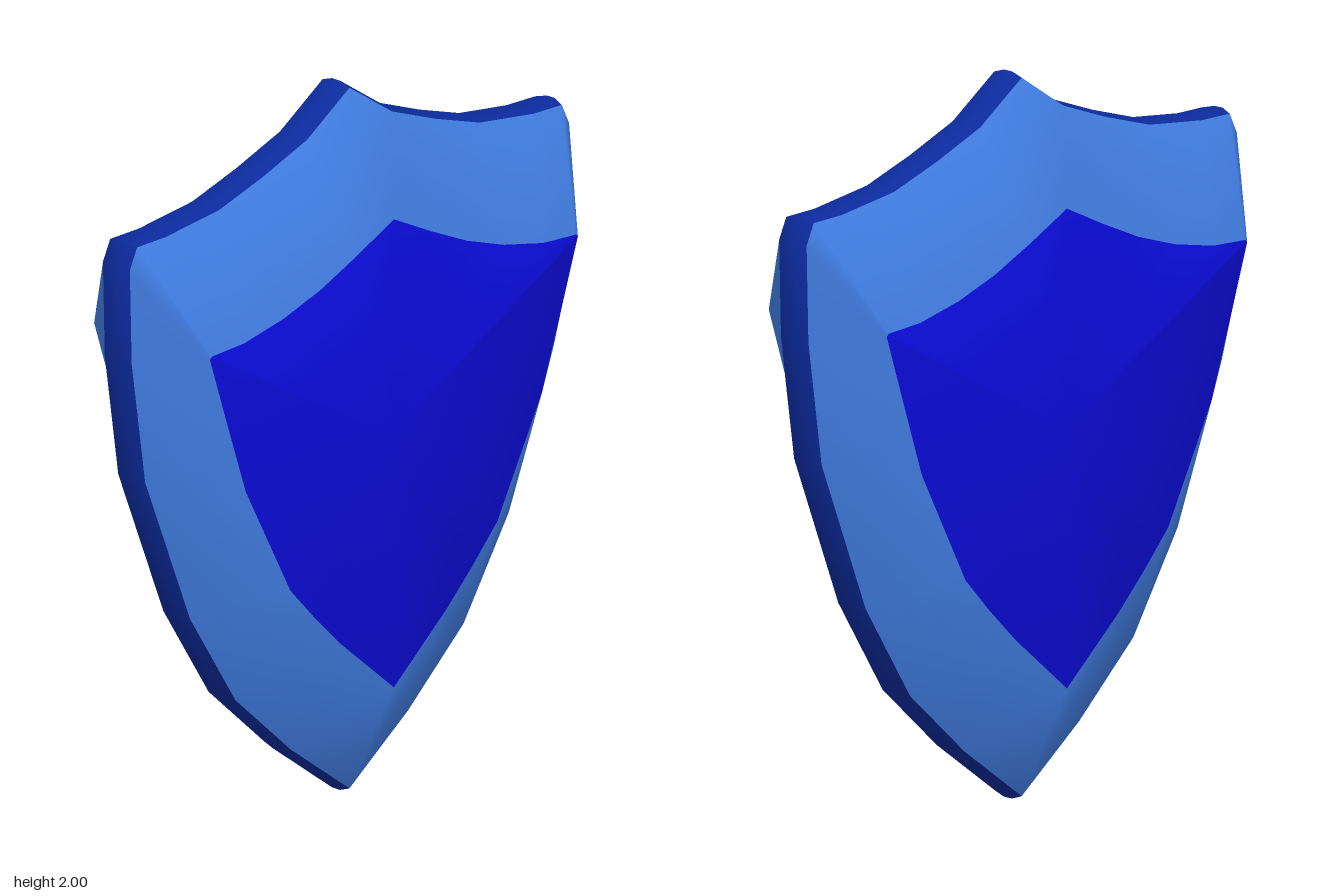
import * as THREE from 'three';
import { toCreasedNormals } from 'three/addons/utils/BufferGeometryUtils.js';

// Half outlines from the top peak, round the shoulder, to the bottom tip
const OUTER = [[0, 2], [0.164, 1.892], [0.333, 1.829], [0.503, 1.776], [0.71, 1.75], [0.82, 1.748], [0.848, 1.69],
  [0.841, 1.42], [0.789, 1.07], [0.615, 0.637], [0.44, 0.363], [0.227, 0.17], [0, 0.003]];
const INNER = [[0, 1.658], [0.14, 1.59], [0.28, 1.528], [0.42, 1.482], [0.57, 1.45], [0.694, 1.443], [0.702, 1.436],
  [0.64, 1.25], [0.565, 1.03], [0.395, 0.71], [0.3, 0.608], [0.2, 0.51], [0, 0.34]];
const CENTRE_Y = 1.05;

// Mirrors a half outline into a closed, counter-clockwise loop at depth z
function ring(half, z, scale = 1) {
  const left = half.map(([x, y]) => [-x, y]);
  const right = half.slice(1, -1).reverse();
  return [...left, ...right].map(([x, y]) => [x * scale, CENTRE_Y + (y - CENTRE_Y) * scale, z]);
}

// Joins neighbouring rings, first to last, with faces pointing outwards
function bridge(index, a, b, n) {
  for (let i = 0; i < n; i++) {
    const j = (i + 1) % n;
    index.push(a + i, a + j, b + j, a + i, b + j, b + i);
  }
}

function makeGeometry(points, index) {
  const g = new THREE.BufferGeometry();
  g.setAttribute('position', new THREE.Float32BufferAttribute(points.flat(), 3));
  g.setIndex(index);
  return g;
}

// Bevelled border and raised panel share vertices, so they shade smoothly
function makeSide(materials) {
  const outer = ring(OUTER, 0.05, 0.988);
  const inner = ring(INNER, 0.215);
  const n = outer.length;
  const index = [];
  bridge(index, 0, n, n);
  const borderCount = index.length;
  for (let i = 0; i < n; i++) index.push(n + i, n + (i + 1) % n, 2 * n);
  const g = makeGeometry([...outer, ...inner, [0, CENTRE_Y, 0.215]], index);
  g.addGroup(0, borderCount, 0);
  g.addGroup(borderCount, index.length - borderCount, 1);
  g.computeVertexNormals();
  return new THREE.Mesh(g, materials);
}

// Dark edge band with narrow chamfers
function makeRim(material) {
  const rings = [ring(OUTER, -0.05, 0.988), ring(OUTER, -0.015), ring(OUTER, 0.015), ring(OUTER, 0.05, 0.988)];
  const n = rings[0].length;
  const index = [];
  for (let k = 0; k < 3; k++) bridge(index, k * n, (k + 1) * n, n);
  return new THREE.Mesh(toCreasedNormals(makeGeometry(rings.flat(), index), 0.6), material);
}

export function createModel() {
  const mat = (name, color) => new THREE.MeshStandardMaterial({ name, color });
  const border = mat('border blue', 0x427fe6);
  const panel = mat('panel blue', 0x0c0cdc);
  const rimBlue = mat('rim navy', 0x0c2a9c);

  const shield = new THREE.Group();
  shield.name = 'shield';

  const front = makeSide([border, panel]);
  front.name = 'frontFace';
  const back = makeSide([border, panel]);
  back.name = 'backFace';
  back.rotation.y = Math.PI;
  const rim = makeRim(rimBlue);
  rim.name = 'rim';

  shield.add(front, back, rim);
  return shield;
}
